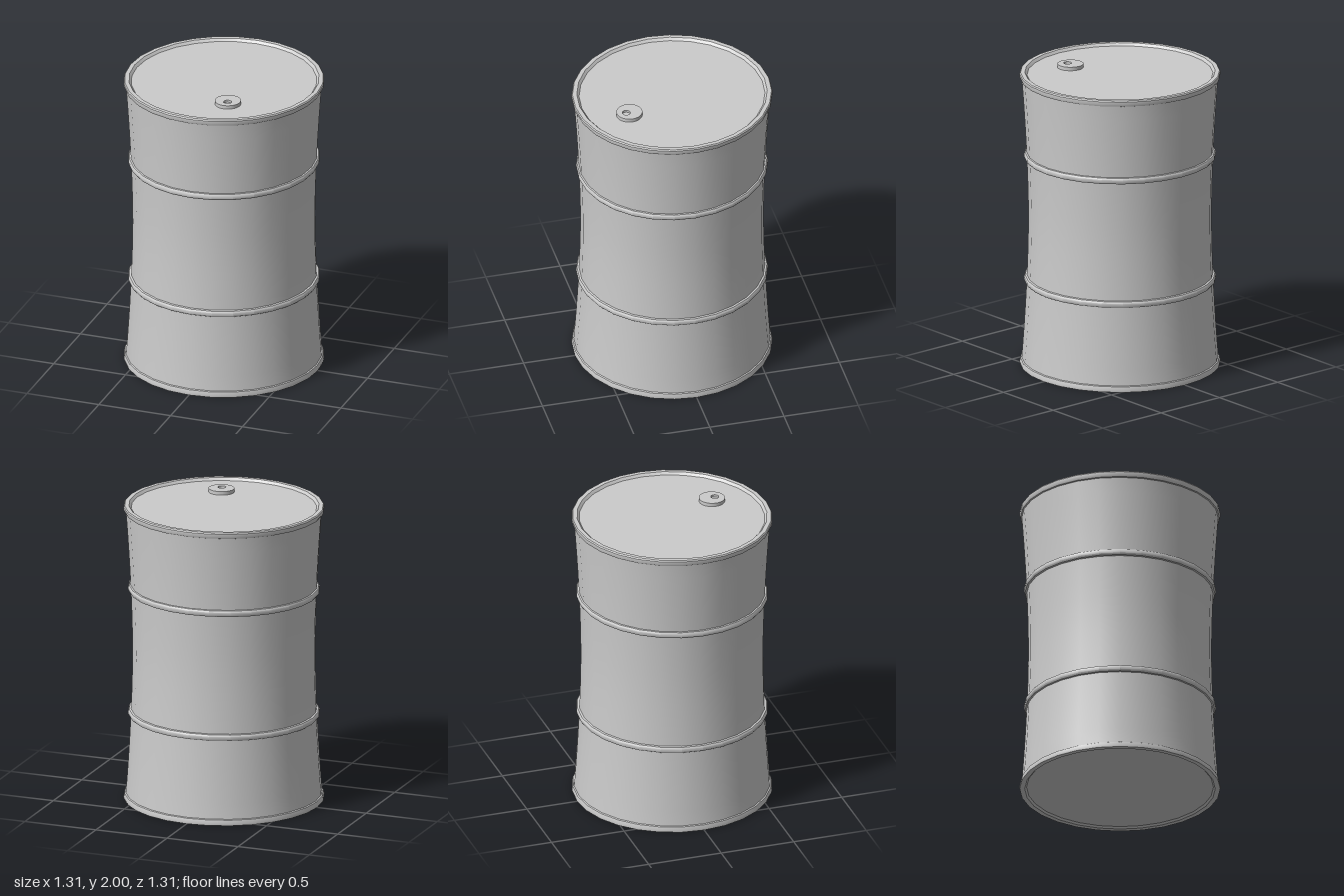
import * as THREE from 'three';
import { toCreasedNormals } from 'three/addons/utils/BufferGeometryUtils.js';

const SIDES = 28;
const material = new THREE.MeshStandardMaterial({ color: 0xcccccc });

// Slight lean of each level: flat at the base, rising towards the back and right
function lean(geometry) {
  const p = geometry.attributes.position;
  for (let i = 0; i < p.count; i++) {
    const x = p.getX(i), y = p.getY(i), z = p.getZ(i);
    const amount = y < 1.43 ? y / 1.43 : 1 - 0.4 * (y - 1.43) / 0.57;
    p.setY(i, y + amount * (0.005 * x - 0.015 * z));
  }
  return geometry;
}

// Profile points run [radius, height], outer side upwards
function turned(name, profile, sides = SIDES, x = 0, z = 0) {
  const points = profile.map(([r, y]) => new THREE.Vector2(r, y));
  const geometry = new THREE.LatheGeometry(points, sides).translate(x, 0, z);
  const mesh = new THREE.Mesh(toCreasedNormals(lean(geometry), 0.6), material);
  mesh.name = name;
  return mesh;
}

const bodyRadius = (y) => 0.598 + 0.047 * Math.pow(Math.abs(y - 1), 1.7);

export function createModel() {
  const group = new THREE.Group();
  group.name = 'barrel';

  // Waisted shell
  const shell = [];
  for (let i = 0; i <= 16; i++) {
    const y = 0.02 + (1.95 * i) / 16;
    shell.push([bodyRadius(y), y]);
  }
  group.add(turned('shell', shell));

  // Base with its rolled rim and shallow recess
  group.add(turned('base', [
    [0, 0.012], [0.61, 0.012], [0.622, 0], [0.655, 0],
    [0.657, 0.012], [0.65, 0.036], [0.635, 0.044],
  ]));

  // Lid with its rolled rim and shallow recess
  group.add(turned('lid', [
    [0.635, 1.948], [0.65, 1.953], [0.656, 1.966], [0.656, 1.985], [0.65, 1.993],
    [0.622, 1.993], [0.607, 1.976], [0, 1.976],
  ]));

  // Two rolling hoops
  for (const [name, y] of [['lowerHoop', 0.585], ['upperHoop', 1.428]]) {
    const r = bodyRadius(y);
    group.add(turned(name, [
      [r - 0.005, y - 0.024], [0.62, y - 0.02], [0.627, y - 0.009],
      [0.627, y + 0.009], [0.62, y + 0.02], [r - 0.005, y + 0.024],
    ]));
  }

  // Bung: a disc with an off-centre socket
  const disc = new THREE.Shape().absarc(0, 0, 0.085, 0, Math.PI * 2);
  const socket = new THREE.Path().absarc(0.006, -0.022, 0.026, 0, Math.PI * 2);
  disc.holes.push(socket);
  const bung = new THREE.ExtrudeGeometry(disc, { depth: 0.027, bevelEnabled: false, curveSegments: 28 });
  bung.rotateX(-Math.PI / 2).translate(0.148, 1.973, 0.325);
  const bungMesh = new THREE.Mesh(toCreasedNormals(lean(bung), 0.6), material);
  bungMesh.name = 'bung';
  group.add(bungMesh);
  group.add(turned('bungSocket', [[0.027, 1.985], [0, 1.985]], 20, 0.154, 0.347));

  return group;
}
